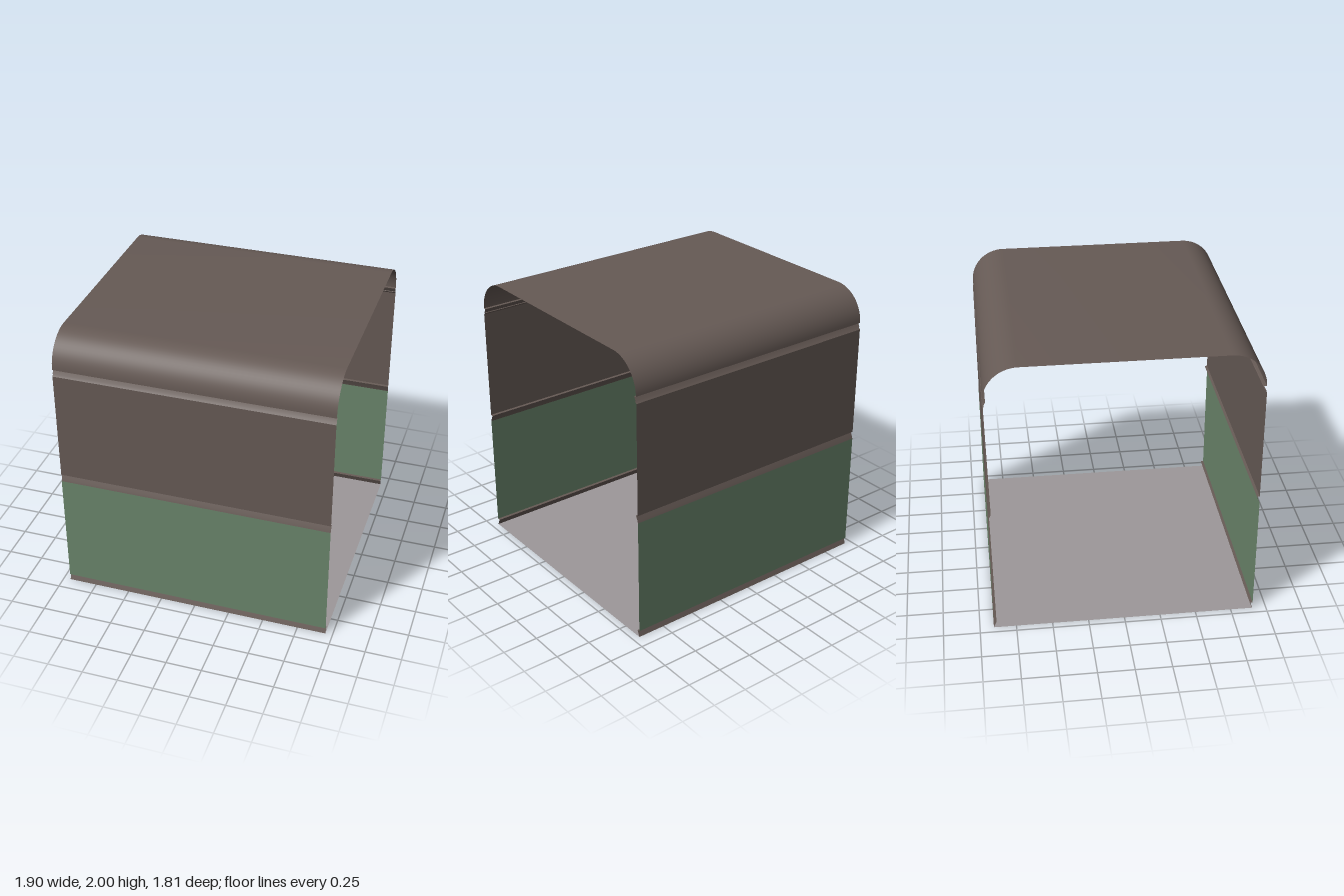
import * as THREE from 'three';
import { toCreasedNormals } from 'three/addons/utils/BufferGeometryUtils.js';

const HALF = 0.95; // half length along x

const material = (name, color) => {
  const m = new THREE.MeshStandardMaterial({ color, side: THREE.DoubleSide });
  m.name = name;
  return m;
};

// Open sheet: a [z, y] profile swept along x, hard edges kept sharp
function sheet(name, profile, mat) {
  const positions = [];
  const index = [];
  profile.forEach(([z, y], i) => {
    positions.push(-HALF, y, z, HALF, y, z);
    if (i > 0) {
      const a = 2 * (i - 1);
      index.push(a, a + 1, a + 3, a, a + 3, a + 2);
    }
  });
  const geometry = new THREE.BufferGeometry();
  geometry.setAttribute('position', new THREE.Float32BufferAttribute(positions, 3));
  geometry.setIndex(index);
  const mesh = new THREE.Mesh(toCreasedNormals(geometry, 0.4), mat);
  mesh.name = name;
  return mesh;
}

export function createModel() {
  const group = new THREE.Group();
  group.name = 'corridorSection';
  const brown = material('brown panel', 0x665a55);
  const green = material('green panel', 0x6a856b);
  const grey = material('grey floor', 0x9d989a);

  // Wall strips from the floor up, with recessed grooves between panels
  const strips = [
    ['skirting', [[0.905, 0], [0.9, 0.012], [0.885, 0.045], [0.905, 0.047]], brown],
    ['lowerPanel', [[0.905, 0.047], [0.905, 0.88]], green],
    ['middleGroove', [[0.905, 0.88], [0.9, 0.895], [0.885, 0.93], [0.903, 0.933]], brown],
    ['upperPanel', [[0.903, 0.933], [0.903, 1.722]], brown],
    ['upperGroove', [[0.903, 1.722], [0.892, 1.735], [0.897, 1.738], [0.882, 1.768], [0.9, 1.77]], brown],
  ];
  for (const [name, profile, mat] of strips) {
    group.add(sheet(name + 'Front', profile, mat));
    const mirrored = profile.map(([z, y]) => [-z, y]).reverse();
    group.add(sheet(name + 'Back', mirrored, mat));
  }

  // Roof with rounded shoulders
  const radius = 0.23;
  const steps = 16;
  const shoulder = [];
  for (let i = 0; i <= steps; i++) {
    const t = (i / steps) * Math.PI / 2;
    shoulder.push([0.9 - radius + radius * Math.cos(t), 2 - radius + radius * Math.sin(t)]);
  }
  const farShoulder = shoulder.map(([z, y]) => [-z, y]).reverse();
  group.add(sheet('roof', [...shoulder, ...farShoulder], brown));

  // Floor
  group.add(sheet('floor', [[0.905, 0], [-0.905, 0]], grey));
  return group;
}
